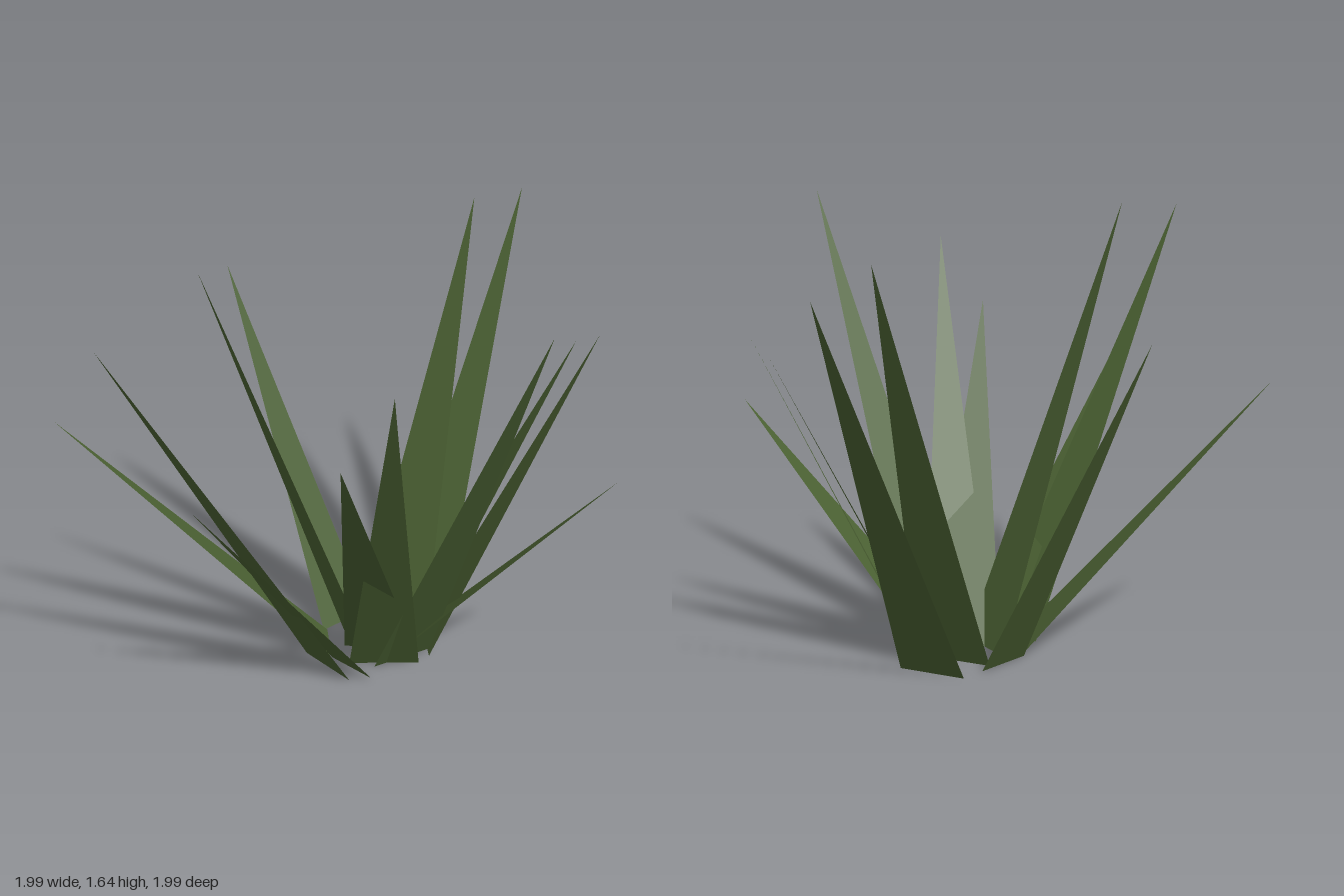
import * as THREE from 'three';

// One flat, pointed blade: base centre on the ground, tip in space,
// base edge square to the direction the blade leans in.
function bladeGeometry([bx, bz], width, [tx, ty, tz]) {
  const out = new THREE.Vector2(tx - bx, tz - bz).normalize();
  const sx = -out.y * width / 2;
  const sz = out.x * width / 2;
  const g = new THREE.BufferGeometry();
  g.setAttribute('position', new THREE.Float32BufferAttribute([
    bx + sx, 0, bz + sz,
    bx - sx, 0, bz - sz,
    tx, ty, tz,
  ], 3));
  g.computeVertexNormals();
  return g;
}

// Base centre (x, z), base width, tip (x, y, z)
const BLADES = [
  // back
  [[0.20, -0.245], 0.26, [0.46, 1.49, -1.0]],
  [[0.14, -0.095], 0.29, [0.325, 1.56, -0.67]],
  [[-0.045, -0.107], 0.23, [-0.59, 1.28, -0.49]],
  // left side
  [[0.21, -0.085], 0.24, [0.77, 1.18, -0.30]],
  [[0.28, -0.035], 0.24, [0.86, 1.245, -0.22]],
  [[0.195, 0.03], 0.27, [0.99, 0.90, 0.23]],
  // front
  [[0.22, 0.11], 0.245, [0.80, 1.645, 0.73]],
  [[0.16, 0.16], 0.26, [0.325, 1.45, 0.86]],
  [[0.13, 0.07], 0.28, [0.16, 1.19, 0.90]],
  [[0.05, 0.22], 0.20, [-0.35, 0.96, 0.86]],
  [[-0.04, 0.23], 0.245, [-0.61, 1.58, 0.99]],
  // right side
  [[0.046, 0.07], 0.26, [-0.425, 1.645, 0.45]],
  [[-0.07, 0.07], 0.19, [-1.0, 0.99, 0.37]],
];

export function createModel() {
  const leafGreen = new THREE.MeshStandardMaterial({ color: 0x4a6032, side: THREE.DoubleSide });
  leafGreen.name = 'leafGreen';

  const plant = new THREE.Group();
  plant.name = 'spikyPlant';
  BLADES.forEach(([base, width, tip], i) => {
    const blade = new THREE.Mesh(bladeGeometry(base, width, tip), leafGreen);
    blade.name = `blade${i + 1}`;
    plant.add(blade);
  });
  return plant;
}
